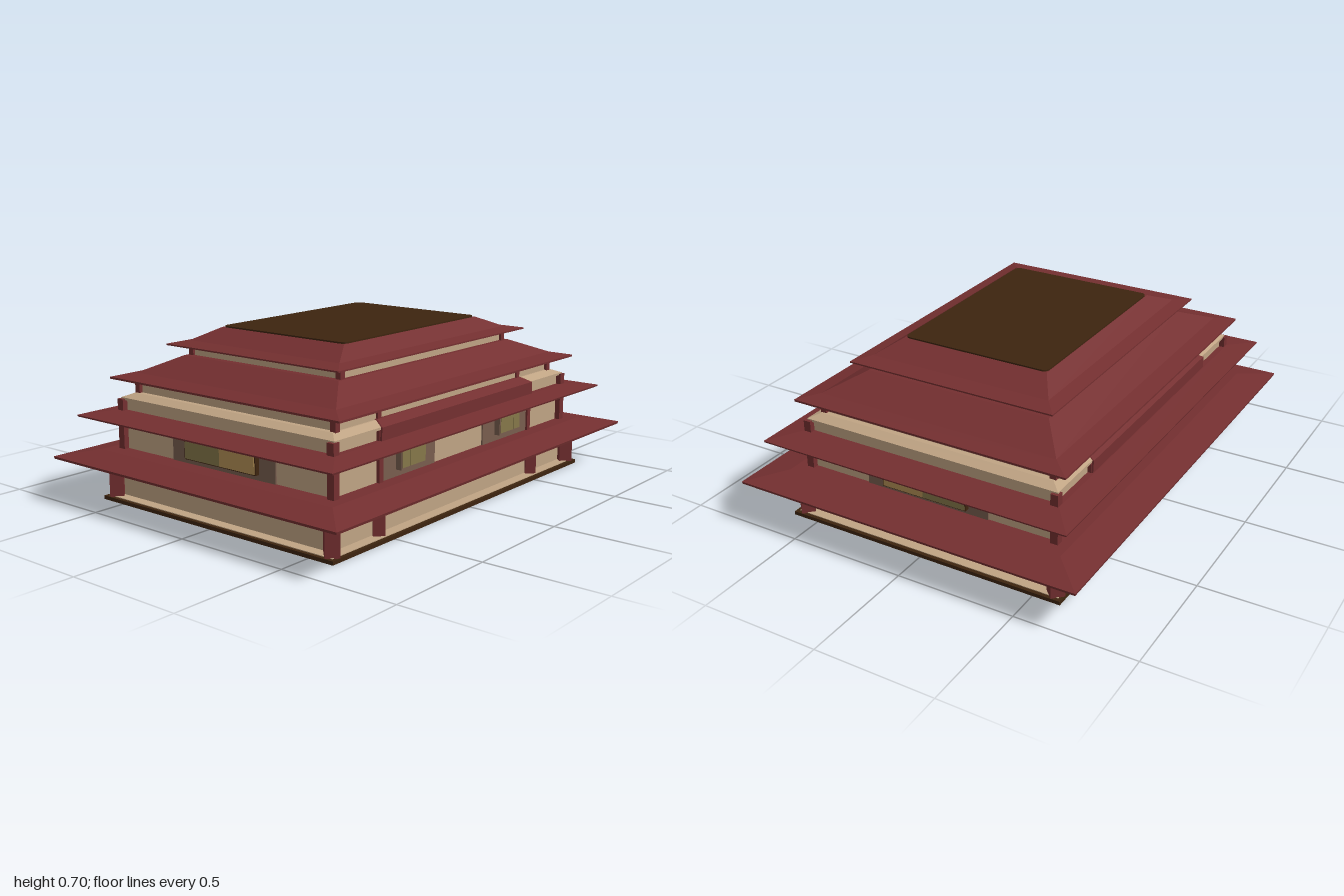
import * as THREE from 'three';

const mat = (name, color) => {
  const m = new THREE.MeshStandardMaterial({ color });
  m.name = name;
  return m;
};

export function createModel() {
  const model = new THREE.Group();
  model.name = 'tieredHall';
  const red = mat('dark red wood', 0x742f30);
  const cream = mat('cream plaster', 0xc0a484);
  const brown = mat('dark brown', 0x3d240f);
  const taupe = mat('taupe panel', 0x785d4e);
  const gold = mat('gold glass', 0xb39055);
  const olive = mat('olive glass', 0x857749);

  const add = (geometry, material, name, x = 0, y = 0, z = 0) => {
    const mesh = new THREE.Mesh(geometry, material);
    mesh.name = name;
    mesh.position.set(x, y, z);
    model.add(mesh);
    return mesh;
  };
  // Box spanning two opposite corners
  const box = (name, material, x0, x1, y0, y1, z0, z1) =>
    add(new THREE.BoxGeometry(x1 - x0, y1 - y0, z1 - z0), material, name,
      (x0 + x1) / 2, (y0 + y1) / 2, (z0 + z1) / 2);

  // Closed solid lofted through rectangular rings [halfX, y, halfZ], bottom to top
  const loft = (name, material, rings) => {
    const pos = [];
    const corners = rings.map(([x, y, z]) => [[-x, y, z], [x, y, z], [x, y, -z], [-x, y, -z]]);
    const quad = (a, b, c, d) => pos.push(...a, ...b, ...c, ...a, ...c, ...d);
    for (let i = 0; i < corners.length - 1; i++) {
      const lo = corners[i], hi = corners[i + 1];
      for (let k = 0; k < 4; k++) {
        const n = (k + 1) % 4;
        quad(lo[k], lo[n], hi[n], hi[k]);
      }
    }
    const b = corners[0], t = corners[corners.length - 1];
    quad(b[3], b[2], b[1], b[0]);
    quad(t[0], t[1], t[2], t[3]);
    const g = new THREE.BufferGeometry();
    g.setAttribute('position', new THREE.Float32BufferAttribute(pos, 3));
    g.computeVertexNormals();
    return add(g, material, name);
  };

  // Four mirrored posts; diamond ones are turned 45 degrees
  const posts = (name, x, z, r, y0, y1, diamond) => {
    for (const sx of [-1, 1]) for (const sz of [-1, 1]) {
      if (diamond) {
        add(new THREE.CylinderGeometry(r, r, y1 - y0, 4).toNonIndexed(), red, name,
          sx * x, (y0 + y1) / 2, sz * z).geometry.computeVertexNormals();
      } else {
        box(name, red, sx * x - r, sx * x + r, y0, y1, sz * z - r, sz * z + r);
      }
    }
  };

  // Base and ground floor
  box('base', brown, -0.86, 0.86, 0, 0.015, -0.615, 0.615);
  box('floor', cream, -0.845, 0.845, 0.012, 0.018, -0.6, 0.6);
  box('groundWalls', cream, -0.8, 0.8, 0.015, 0.185, -0.555, 0.555);
  posts('groundCornerPost', 0.82, 0.577, 0.04, 0.015, 0.185, true);
  posts('groundMiddlePost', 0.537, 0.565, 0.033, 0.015, 0.185, true);

  // Rear entrance: glazed screens, double door and lanterns
  for (const s of [-1, 1]) {
    const a = s * 0.16, b = s * 0.51;
    box('rearScreen', gold, Math.min(a, b), Math.max(a, b), 0.018, 0.18, -0.562, -0.554);
    box('lantern', cream, s * 0.155 - 0.018, s * 0.155 + 0.018, 0.045, 0.11, -0.605, -0.56);
  }
  box('rearDoor', brown, -0.16, 0.16, 0.018, 0.18, -0.562, -0.554);

  // First roof
  loft('firstRoof', red, [[0.998, 0.178, 0.748], [1, 0.188, 0.75], [0.86, 0.213, 0.615]]);

  // Upper floor
  box('upperWalls', cream, -0.78, 0.78, 0.2, 0.42, -0.55, 0.55);
  posts('upperCornerPost', 0.787, 0.557, 0.016, 0.2, 0.42, false);
  posts('upperMiddlePost', 0.52, 0.552, 0.012, 0.2, 0.42, false);

  // Front panels and their projecting windows
  for (const s of [-1, 1]) {
    const c = s * 0.34;
    box('frontPanel', taupe, c - 0.17, c + 0.17, 0.213, 0.356, 0.549, 0.556);
    box('frontWindowFrame', taupe, c - 0.08, c + 0.08, 0.24, 0.327, 0.55, 0.581);
    box('frontPane', olive, c + s * 0.023 - 0.05, c + s * 0.023 + 0.05 - 0.002, 0.248, 0.319, 0.58, 0.583).position.x = c - s * 0.023;
    box('frontPaneOuter', olive, c + s * 0.051 - 0.022, c + s * 0.051 + 0.022, 0.248, 0.319, 0.58, 0.583);
  }

  // Side panels with long windows
  for (const s of [-1, 1]) {
    const plate = (name, m, inner, outer, y0, y1, z0, z1) =>
      box(name, m, Math.min(s * inner, s * outer), Math.max(s * inner, s * outer), y0, y1, z0, z1);
    plate('sidePanel', taupe, 0.779, 0.786, 0.213, 0.356, -0.268, 0.28);
    plate('sideWindowFrame', brown, 0.78, 0.806, 0.235, 0.328, -0.182, 0.197);
    plate('sidePaneFront', gold, 0.805, 0.809, 0.239, 0.324, 0.01, 0.192);
    plate('sidePaneBack', olive, 0.805, 0.809, 0.239, 0.324, -0.177, 0.01);
  }

  // Second roof
  loft('secondRoof', red, [[0.928, 0.353, 0.673], [0.93, 0.36, 0.675], [0.8, 0.374, 0.575]]);

  // Sloping skirt above the second roof, with red centre bays front and back
  loft('skirt', cream, [[0.79, 0.415, 0.565], [0.79, 0.425, 0.565], [0.75, 0.442, 0.525]]);
  loft('skirtCentre', red, [[0.53, 0.37, 0.572], [0.525, 0.425, 0.572], [0.5, 0.445, 0.528]]);

  // Third tier
  box('thirdWalls', cream, -0.728, 0.728, 0.43, 0.51, -0.518, 0.518);
  posts('thirdCornerPost', 0.73, 0.518, 0.013, 0.44, 0.51, false);
  posts('thirdMiddlePost', 0.483, 0.515, 0.011, 0.44, 0.51, false);
  loft('thirdRoof', red, [[0.81, 0.499, 0.605], [0.81, 0.507, 0.605], [0.735, 0.523, 0.527], [0.58, 0.586, 0.41]]);

  // Top tier
  box('topWalls', cream, -0.55, 0.55, 0.58, 0.636, -0.392, 0.392);
  posts('topCornerPost', 0.548, 0.391, 0.012, 0.58, 0.636, false);
  loft('topRoof', red, [[0.635, 0.63, 0.455], [0.635, 0.636, 0.455], [0.56, 0.647, 0.397], [0.445, 0.694, 0.325]]);

  // Dark deck with rounded corners
  const [w, d, r] = [0.443, 0.323, 0.025];
  const deck = new THREE.Shape();
  deck.absarc(w - r, d - r, r, 0, Math.PI / 2);
  deck.absarc(-w + r, d - r, r, Math.PI / 2, Math.PI);
  deck.absarc(-w + r, -d + r, r, Math.PI, Math.PI * 1.5);
  deck.absarc(w - r, -d + r, r, Math.PI * 1.5, Math.PI * 2);
  const deckGeometry = new THREE.ExtrudeGeometry(deck, { depth: 0.01, bevelEnabled: false, curveSegments: 5 });
  deckGeometry.rotateX(-Math.PI / 2);
  add(deckGeometry, brown, 'roofDeck', 0, 0.69, 0);

  return model;
}
